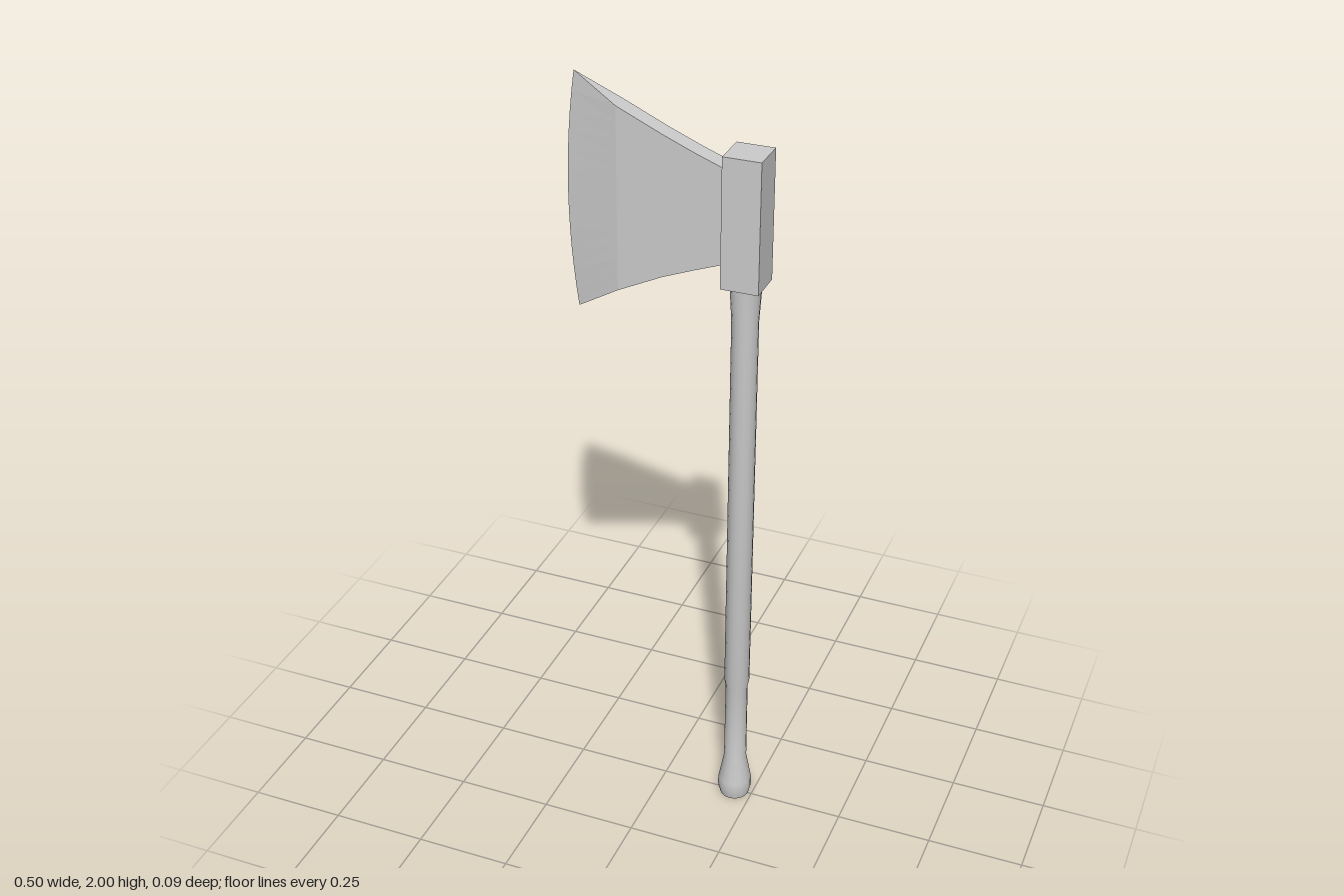
import * as THREE from 'three';
import { toCreasedNormals } from 'three/addons/utils/BufferGeometryUtils.js';

const HANDLE_X = 0.201;

// Blade columns from cutting edge to root: x, bottom, top, half thickness
const COLUMNS = [
  [-0.228, 1.40, 2.0, 0],
  [-0.115, 1.472, 1.938, 0.024],
  [0, 1.528, 1.886, 0.024],
  [0.08, 1.56, 1.853, 0.024],
  [0.16, 1.59, 1.823, 0.024],
];

// A box grid bent into a flaring wedge with a curved cutting edge
function bladeGeometry() {
  const last = COLUMNS.length - 1;
  const box = new THREE.BoxGeometry(1, 1, 1, last, 12, 1);
  const p = box.attributes.position;
  for (let i = 0; i < p.count; i++) {
    const col = Math.round((p.getX(i) + 0.5) * last);
    const v = p.getY(i);
    const [x, low, high, half] = COLUMNS[col];
    const bulge = col === 0 ? 0.022 * (1 - 4 * v * v) : 0;
    p.setXYZ(i, x - bulge, THREE.MathUtils.lerp(low, high, v + 0.5), Math.sign(p.getZ(i)) * half);
  }
  const flat = box.toNonIndexed();
  flat.computeVertexNormals();
  return flat;
}

// Turned handle with a swollen knob and a slight flare under the head
function handleGeometry() {
  const profile = [
    [0, 0], [0.039, 0], [0.045, 0.025], [0.044, 0.05], [0.03, 0.125], [0.029, 0.36],
    [0.033, 0.38], [0.033, 1.44], [0.039, 1.54], [0, 1.54],
  ].map(([r, y]) => new THREE.Vector2(r, y));
  return toCreasedNormals(new THREE.LatheGeometry(profile, 16), 0.7);
}

export function createModel() {
  const model = new THREE.Group();
  model.name = 'axe';
  const smooth = new THREE.MeshStandardMaterial({ color: 0xcccccc });
  const faceted = new THREE.MeshStandardMaterial({ color: 0xcccccc, flatShading: true });

  const add = (name, geometry, material) => {
    const mesh = new THREE.Mesh(geometry, material);
    mesh.name = name;
    model.add(mesh);
    return mesh;
  };

  add('handle', handleGeometry(), smooth).position.x = HANDLE_X;
  add('headBlock', new THREE.BoxGeometry(0.095, 0.33, 0.095), faceted).position.set(HANDLE_X, 1.7, 0);
  add('blade', bladeGeometry(), faceted);
  return model;
}
